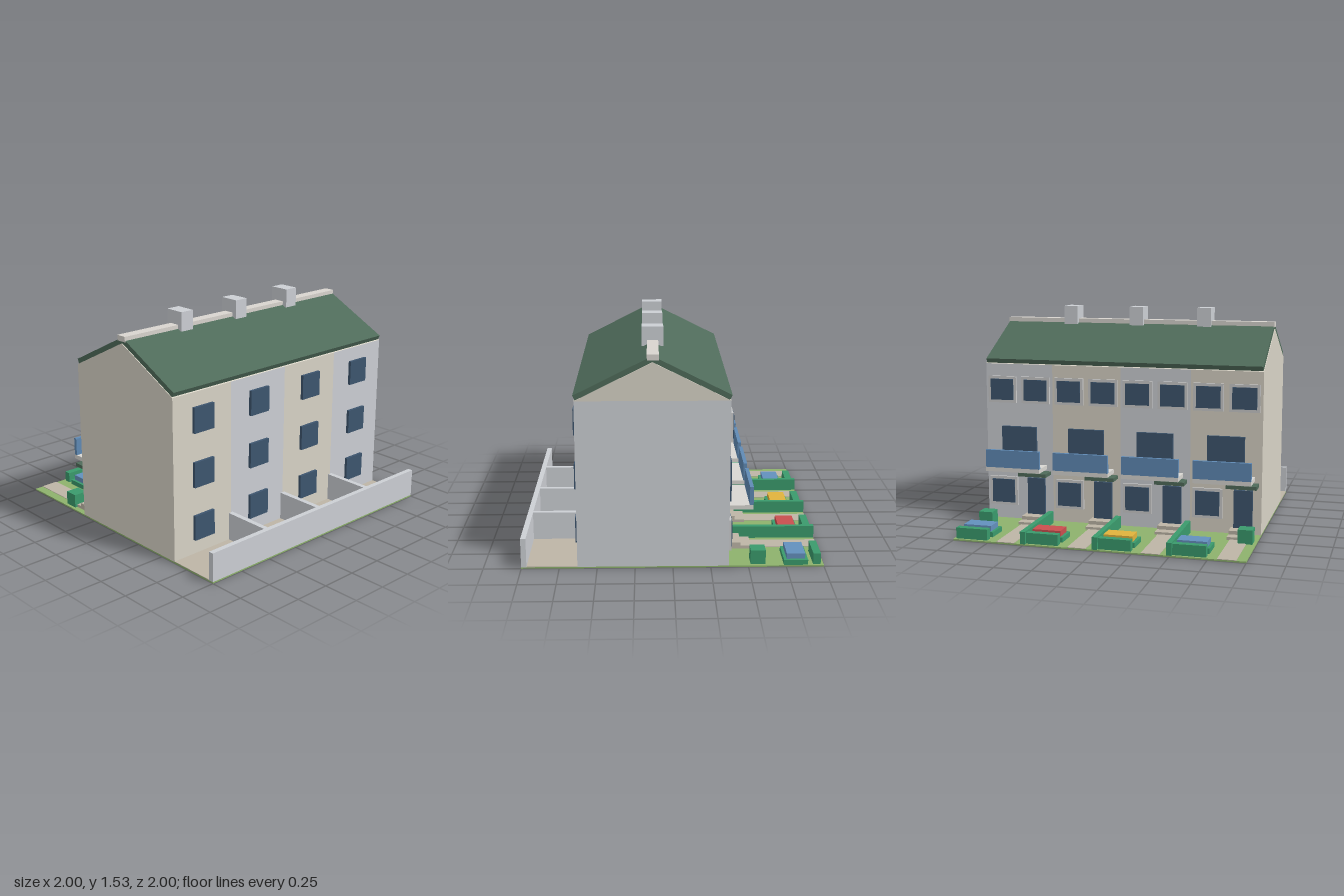
import * as THREE from 'three';

const mat = (color) => new THREE.MeshStandardMaterial({ color });
const M = {
  beige: mat(0xd8d3c6), grey: mat(0xcccfd4), roof: mat(0x4f6b5a), ridge: mat(0xd9d5cf),
  glass: mat(0x3d556e), frame: mat(0xcccccc), balcony: mat(0xd9d7d2), panel: mat(0x5f8ab5),
  grass: mat(0x8db26c), hedge: mat(0x3a9a6c), paving: mat(0xbdb5a6),
  red: mat(0xc94f4f), yellow: mat(0xe0b33c), blue: mat(0x6390bd),
};

// Box given by its extents on each axis
function box(parent, name, material, [x0, x1], [y0, y1], [z0, z1]) {
  const mesh = new THREE.Mesh(new THREE.BoxGeometry(x1 - x0, y1 - y0, z1 - z0), material);
  mesh.position.set((x0 + x1) / 2, (y0 + y1) / 2, (z0 + z1) / 2);
  mesh.name = name;
  parent.add(mesh);
}
const span = (centre, width) => [centre - width / 2, centre + width / 2];

// (z, y) profile extruded along x and centred
function profile(parent, name, material, points, length) {
  const shape = new THREE.Shape(points.map(([z, y]) => new THREE.Vector2(z, y)));
  const geo = new THREE.ExtrudeGeometry(shape, { depth: length, bevelEnabled: false });
  geo.rotateY(-Math.PI / 2).translate(length / 2, 0, 0);
  const mesh = new THREE.Mesh(geo, material);
  mesh.name = name;
  parent.add(mesh);
}

const FRONT = 0.63, BACK = -0.37, RIDGE = 0.13;

function framedWindow(parent, x, y0, y1) {
  box(parent, 'windowFrame', M.frame, span(x, 0.21), [y0, y1], [BACK - 0.015, BACK]);
  box(parent, 'windowGlass', M.glass, span(x, 0.17), [y0 + 0.02, y1 - 0.02], [BACK - 0.022, BACK - 0.005]);
}

// One terraced house with its back garden, centred on x = u
function createHouse(u, wall, bedColor) {
  const g = new THREE.Group();
  g.name = 'house';
  const doorX = u - 0.125, sideX = u + 0.125;
  box(g, 'walls', wall, span(u, 0.5), [0.01, 1.138], [BACK, FRONT]);

  // Street side windows
  for (const y of [0.115, 0.49, 0.865])
    box(g, 'frontWindow', M.glass, span(u, 0.17), [y, y + 0.175], [FRONT, FRONT + 0.02]);

  // Garden side windows and doors
  framedWindow(g, doorX, 0.86, 1.05);
  framedWindow(g, sideX, 0.86, 1.05);
  framedWindow(g, sideX, 0.11, 0.32);
  box(g, 'backDoor', M.glass, span(doorX, 0.13), [0.055, 0.32], [BACK - 0.02, BACK]);
  box(g, 'balconyDoor', M.glass, span(u, 0.26), [0.415, 0.69], [BACK - 0.02, BACK]);

  // Balcony, canopy and steps
  box(g, 'balconyFloor', M.balcony, span(u, 0.4), [0.385, 0.415], [-0.53, BACK]);
  box(g, 'balconyPanel', M.panel, span(u, 0.4), [0.415, 0.54], [-0.53, -0.505]);
  box(g, 'doorCanopy', M.roof, span(doorX, 0.21), [0.347, 0.372], [-0.48, BACK]);
  box(g, 'upperStep', M.paving, span(doorX, 0.168), [0.01, 0.055], [-0.47, BACK]);
  box(g, 'lowerStep', M.paving, span(doorX, 0.168), [0.01, 0.03], [-0.54, -0.47]);

  // Garden
  box(g, 'gardenPath', M.paving, span(doorX, 0.125), [0.005, 0.014], [-1, -0.54]);
  box(g, 'backHedge', M.hedge, span(u + 0.123, 0.225), [0.01, 0.085], [-0.98, -0.93]);
  box(g, 'flowerBedBorder', M.hedge, span(sideX, 0.24), [0.01, 0.045], [-0.895, -0.735]);
  box(g, 'flowerBed', bedColor, span(sideX, 0.2), [0.045, 0.083], [-0.877, -0.755]);
  return g;
}

export function createModel() {
  const root = new THREE.Group();
  root.name = 'terrace';

  box(root, 'ground', M.grass, [-1, 1], [0, 0.01], [-1, 1]);
  const beds = [M.blue, M.yellow, M.red, M.blue];
  beds.forEach((bed, i) => root.add(createHouse(-0.75 + i * 0.5, i % 2 ? M.grey : M.beige, bed)));

  // Gable and roof
  profile(root, 'gable', M.beige, [[BACK, 1.138], [FRONT, 1.138], [RIDGE, 1.387]], 2);
  profile(root, 'roof', M.roof, [
    [RIDGE - 0.492, 1.142], [RIDGE, 1.388], [RIDGE + 0.492, 1.142],
    [RIDGE + 0.507, 1.173], [RIDGE, 1.427], [RIDGE - 0.507, 1.173],
  ], 1.99);
  box(root, 'ridgeCap', M.ridge, [-1, 1], [1.4, 1.437], span(RIDGE - 0.003, 0.076));

  // Boundaries between the houses
  for (const x of [-0.5, 0, 0.5]) {
    box(root, 'chimney', M.grey, span(x, 0.1), [1.397, 1.53], [0.055, 0.2]);
    box(root, 'yardDivider', M.grey, span(x, 0.035), [0.01, 0.21], [FRONT, 0.965]);
    box(root, 'gardenHedge', M.hedge, span(x, 0.036), [0.01, 0.095], [-1, -0.43]);
  }

  // Street side yard
  box(root, 'yardPaving', M.paving, [-1, 1], [0.005, 0.014], [FRONT, 0.965]);
  box(root, 'yardWall', M.grey, [-1, 1], [0.008, 0.21], [0.965, 1]);

  // Corner bushes
  for (const x of [-0.928, 0.925])
    box(root, 'bush', M.hedge, span(x, 0.1), [0.01, 0.107], [-0.615, -0.515]);
  return root;
}
